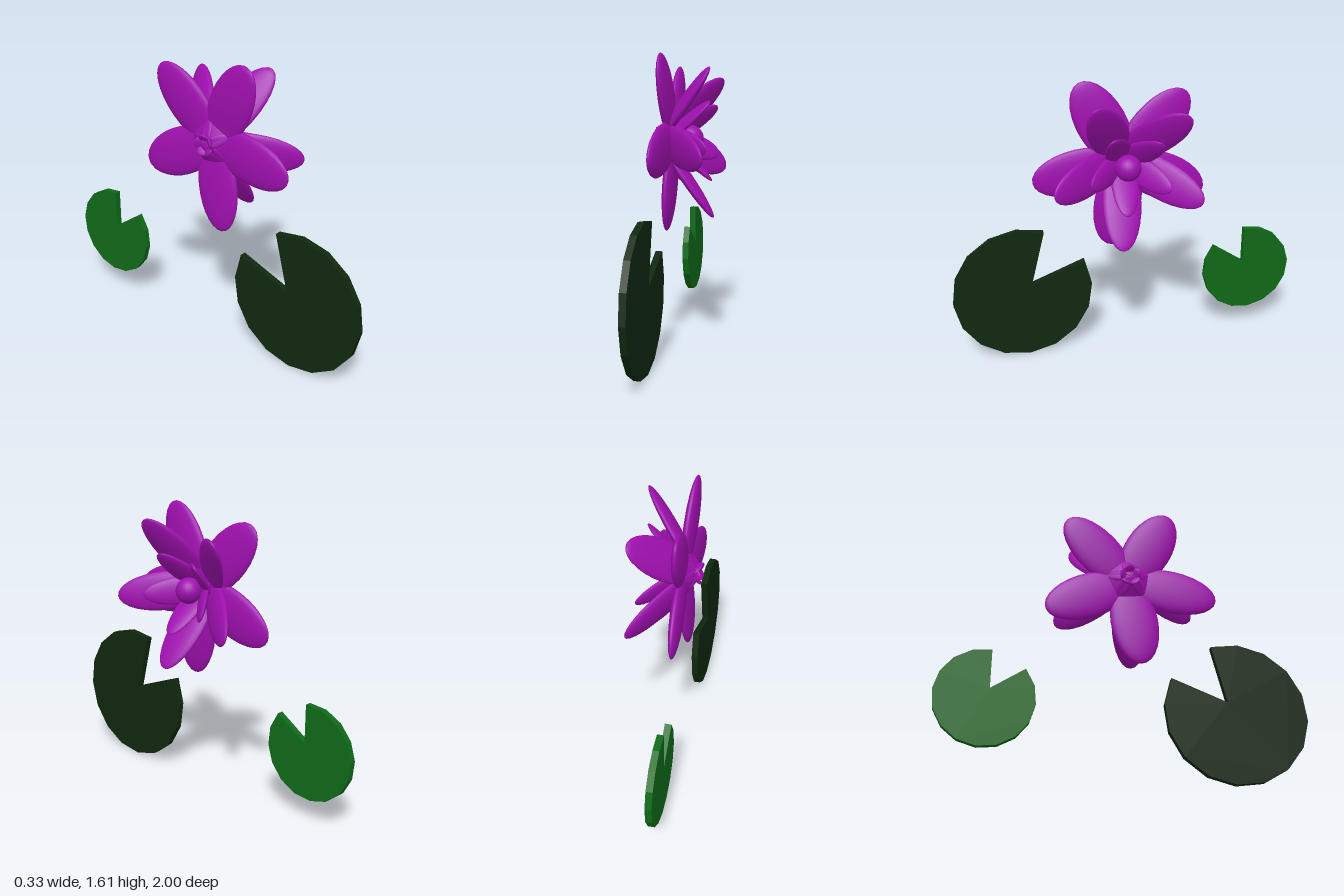
import * as THREE from 'three';

const rad = THREE.MathUtils.degToRad;
const purple = new THREE.MeshStandardMaterial({ color: 0xa010b0 });
const darkGreen = new THREE.MeshStandardMaterial({ color: 0x10280f, flatShading: true });
const green = new THREE.MeshStandardMaterial({ color: 0x0f6a18, flatShading: true });

// Five ellipsoid petals around the x axis; from/to are [x, radius] of root and tip
function petalRing(name, from, to, width, thickness) {
  const ring = new THREE.Group();
  ring.name = name;
  const dx = to[0] - from[0], dr = to[1] - from[1];
  const geo = new THREE.SphereGeometry(1, 20, 14);
  geo.scale(thickness / 2, Math.hypot(dx, dr) / 2, width / 2);
  geo.rotateZ(-Math.atan2(dx, dr));
  geo.translate((from[0] + to[0]) / 2, (from[1] + to[1]) / 2, 0);
  for (let i = 0; i < 5; i++) {
    const petal = new THREE.Mesh(geo, purple);
    petal.name = 'petal';
    petal.rotation.x = rad(28 + 72 * i);
    ring.add(petal);
  }
  return ring;
}

// Notched round pad standing in the yz plane, 14 of 16 rim segments
// Shape coordinates are (-z, y); start is the rim angle from up towards +z
function lilyPad(name, z, y, radius, start, dir, notch, material) {
  const points = [new THREE.Vector2(-notch[0], notch[1])];
  for (let i = 0; i <= 14; i++) {
    const a = rad(start + dir * 22.5 * i);
    points.push(new THREE.Vector2(-(z + radius * Math.sin(a)), y + radius * Math.cos(a)));
  }
  const geo = new THREE.ExtrudeGeometry(new THREE.Shape(points), { depth: 0.036, bevelEnabled: false });
  geo.rotateY(Math.PI / 2);
  geo.translate(-0.116, 0, 0);
  const pad = new THREE.Mesh(geo, material);
  pad.name = name;
  return pad;
}

export function createModel() {
  const model = new THREE.Group();
  model.name = 'waterLily';

  // Blossom opening towards +x
  const flower = new THREE.Group();
  flower.name = 'flower';
  flower.position.set(0, 1.16, 0.02);
  flower.add(
    petalRing('outerPetals', [-0.065, -0.01], [-0.09, 0.51], 0.27, 0.066),
    petalRing('middlePetals', [-0.15, -0.01], [0.168, 0.43], 0.22, 0.06),
    petalRing('innerPetals', [-0.165, -0.06], [0.155, 0.23], 0.155, 0.045)
  );
  const heart = new THREE.Mesh(new THREE.SphereGeometry(0.072, 20, 14), purple);
  heart.name = 'flowerCentre';
  heart.position.x = 0.03;
  flower.add(heart);
  model.add(flower);

  // Floating pads
  model.add(
    lilyPad('largePad', 0.605, 0.4, 0.397, -19.2, 1, [0.555, 0.455], darkGreen),
    lilyPad('smallPad', -0.735, 0.397, 0.265, 5.4, -1, [-0.71, 0.445], green)
  );
  return model;
}
